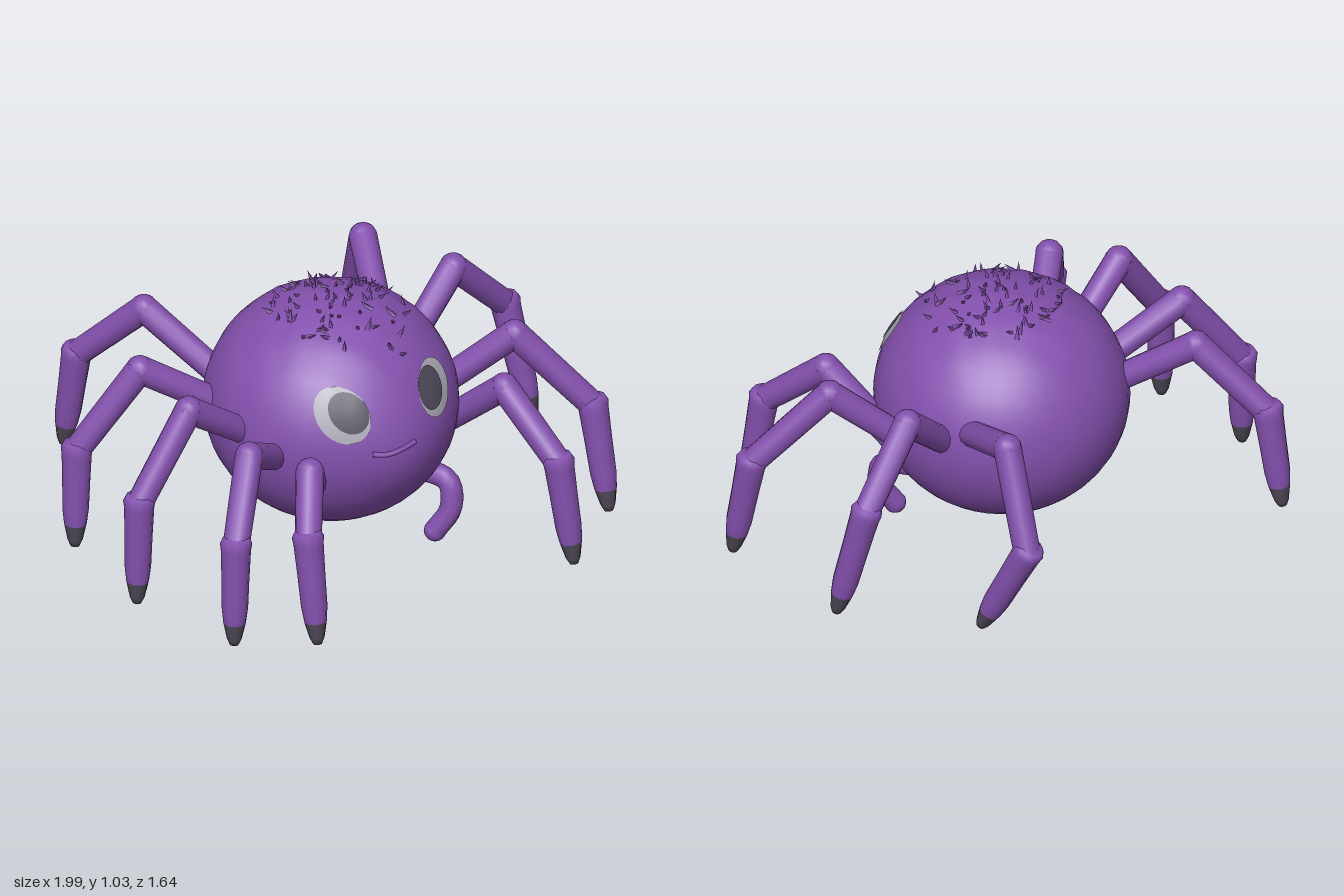
import * as THREE from 'three';

const mat = (name, color) => {
  const m = new THREE.MeshStandardMaterial({ color });
  m.name = name;
  return m;
};
const purple = mat('purple skin', 0x8350ad);
const white = mat('eye grey white', 0xa9a8b4);
const dark = mat('dark pupil', 0x4d485a);
const clawMat = mat('claw grey', 0x504a58);

const UP = new THREE.Vector3(0, 1, 0);
const CENTER = new THREE.Vector3(-0.02, 0.555, 0.04);
const RADII = new THREE.Vector3(0.475, 0.445, 0.478);

function mesh(name, geometry, material) {
  const m = new THREE.Mesh(geometry, material);
  m.name = name;
  return m;
}

// body surface in a unit direction: a ball with a slight snout and lumpy crown
function surface(d, lift = 0) {
  const snout = 0.06 * Math.exp(-((d.x / 0.35) ** 2 + ((d.y + 0.05) / 0.4) ** 2)) * Math.max(0, d.z);
  const lumps = 0.01 * Math.max(0, d.y) * Math.sin(d.x * 17) * Math.sin(d.z * 15 + 1);
  return d.clone().multiply(RADII).multiplyScalar(1 + snout + lumps + lift).add(CENTER);
}

// surface point seen from the front at x, y
function frontPoint(x, y, lift) {
  const u = (x - CENTER.x) / RADII.x, v = (y - CENTER.y) / RADII.y;
  const d = new THREE.Vector3(u, v, Math.sqrt(Math.max(0.01, 1 - u * u - v * v)));
  return surface(d.normalize(), lift);
}

function buildBody() {
  const g = new THREE.SphereGeometry(1, 40, 28);
  const p = g.attributes.position;
  for (let i = 0; i < p.count; i++) {
    const s = surface(new THREE.Vector3().fromBufferAttribute(p, i).normalize());
    p.setXYZ(i, s.x, s.y, s.z);
  }
  g.computeVertexNormals();
  return mesh('body', g, purple);
}

// thin oval laid over the curve of the face
function faceDisc(name, x, y, rx, ry, lift, material) {
  const g = new THREE.RingGeometry(0.001, 1, 28, 5);
  const p = g.attributes.position;
  for (let i = 0; i < p.count; i++) {
    const s = frontPoint(x + p.getX(i) * rx, y + p.getY(i) * ry, lift);
    p.setXYZ(i, s.x, s.y, s.z);
  }
  g.computeVertexNormals();
  return mesh(name, g, material);
}

// tapered round rod between two points
function rod(name, a, b, ra, rb, material = purple) {
  const dir = b.clone().sub(a);
  const m = mesh(name, new THREE.CylinderGeometry(rb, ra, dir.length(), 12), material);
  m.position.copy(a).addScaledVector(dir, 0.5);
  m.quaternion.setFromUnitVectors(UP, dir.normalize());
  return m;
}

function ball(name, p, r) {
  const m = mesh(name, new THREE.SphereGeometry(r, 12, 8), purple);
  m.position.copy(p);
  return m;
}

// lathe profile [radius, height] raised from a towards b
function turned(name, a, b, profile, material) {
  const g = new THREE.LatheGeometry(profile.map(([r, h]) => new THREE.Vector2(r, h)), 12);
  const m = mesh(name, g, material);
  m.position.copy(a);
  m.quaternion.setFromUnitVectors(UP, b.clone().sub(a).normalize());
  return m;
}

// leg: thigh, knee, shin, collared foot and dark claw
function buildLeg(name, points) {
  const [hip, knee, ankle, tip] = points.map(p => new THREE.Vector3(...p));
  const leg = new THREE.Group();
  leg.name = name;
  const len = tip.distanceTo(ankle) + 0.035;
  leg.add(
    rod('thigh', hip, knee, 0.05, 0.053),
    ball('knee', knee, 0.054),
    rod('shin', knee, ankle, 0.053, 0.05),
    turned('foot', tip, ankle, [[0.042, 0.06], [0.049, 0.12], [0.052, len * 0.6],
      [0.056, len - 0.05], [0.06, len - 0.02], [0.05, len], [0, len + 0.01]], purple),
    turned('claw', tip, ankle, [[0, -0.035], [0.017, -0.03], [0.028, -0.005], [0.042, 0.06]], clawMat)
  );
  return leg;
}

// hip, knee, ankle, claw of every leg, front to back on each side
const LEGS = {
  left: [
    [[0.36, 0.43, 0.22], [0.46, 0.67, 0.48], [0.54, 0.44, 0.73], [0.57, 0.06, 0.78]],
    [[0.38, 0.48, 0.08], [0.64, 0.74, 0.27], [0.87, 0.45, 0.45], [0.89, 0.06, 0.52]],
    [[0.38, 0.58, -0.08], [0.64, 0.82, -0.15], [0.9, 0.56, -0.2], [0.955, 0.13, -0.11]],
    [[0.32, 0.62, -0.12], [0.48, 0.82, -0.52], [0.54, 0.46, -0.69], [0.59, 0.09, -0.51]],
  ],
  right: [
    [[-0.28, 0.4, 0.33], [-0.42, 0.6, 0.52], [-0.53, 0.42, 0.68], [-0.53, 0.04, 0.74]],
    [[-0.36, 0.5, 0.22], [-0.63, 0.69, 0.43], [-0.79, 0.43, 0.59], [-0.81, 0.06, 0.61]],
    [[-0.4, 0.55, 0.1], [-0.71, 0.77, 0.14], [-0.94, 0.45, 0.16], [-0.955, 0.07, 0.17]],
    [[-0.38, 0.57, -0.08], [-0.7, 0.77, -0.21], [-0.92, 0.45, -0.3], [-0.94, 0.09, -0.28]],
    [[-0.33, 0.62, -0.26], [-0.49, 0.82, -0.51], [-0.64, 0.56, -0.74], [-0.66, 0.19, -0.79]],
  ],
};

// small leaning spikes over the crown
function buildHair() {
  const hair = new THREE.Group();
  hair.name = 'hair';
  let seed = 7;
  const rnd = () => (seed = (seed * 16807) % 2147483647) / 2147483647;
  const g = new THREE.ConeGeometry(0.013, 0.055, 4);
  for (let i = 0; i < 85; i++) {
    const a = rnd() * Math.PI * 2, r = Math.sqrt(rnd()) * 0.58;
    const x = Math.cos(a) * r, z = Math.sin(a) * r + 0.15;
    const d = new THREE.Vector3(x, Math.sqrt(Math.max(0.1, 1 - x * x - z * z)), z).normalize();
    const m = mesh('hairTuft', g, purple);
    m.position.copy(surface(d, 0.012));
    const lean = new THREE.Vector3(rnd() - 0.5, 0, rnd() - 0.5).multiplyScalar(2.2);
    m.quaternion.setFromUnitVectors(UP, d.add(lean).normalize());
    hair.add(m);
  }
  return hair;
}

export function createModel() {
  const model = new THREE.Group();
  model.name = 'spider';
  model.add(buildBody(), buildHair());

  // eyes looking slightly inwards
  model.add(
    faceDisc('rightEye', -0.215, 0.728, 0.09, 0.097, 0.008, white),
    faceDisc('rightPupil', -0.195, 0.738, 0.066, 0.07, 0.016, dark),
    faceDisc('leftEye', 0.18, 0.725, 0.088, 0.094, 0.008, white),
    faceDisc('leftPupil', 0.156, 0.737, 0.064, 0.07, 0.016, dark)
  );

  // mouth ridge
  const lip = [[-0.14, 0.585], [-0.09, 0.577], [-0.04, 0.583], [0.03, 0.595]]
    .map(([x, y]) => frontPoint(x, y, 0));
  model.add(mesh('mouth', new THREE.TubeGeometry(new THREE.CatmullRomCurve3(lip), 14, 0.011, 6), purple));

  for (const [side, legs] of Object.entries(LEGS)) {
    legs.forEach((points, i) => model.add(buildLeg(`${side}Leg${i + 1}`, points)));
  }

  // short curled feeler under the left side
  const path = [[0.18, 0.23, 0.12], [0.26, 0.26, 0.24], [0.31, 0.24, 0.33], [0.305, 0.14, 0.355], [0.255, 0.045, 0.325]]
    .map(p => new THREE.Vector3(...p));
  const feeler = new THREE.Group();
  feeler.name = 'feeler';
  feeler.add(
    mesh('feelerArm', new THREE.TubeGeometry(new THREE.CatmullRomCurve3(path), 20, 0.042, 10), purple),
    ball('feelerTip', path[4], 0.042)
  );
  model.add(feeler);
  return model;
}
